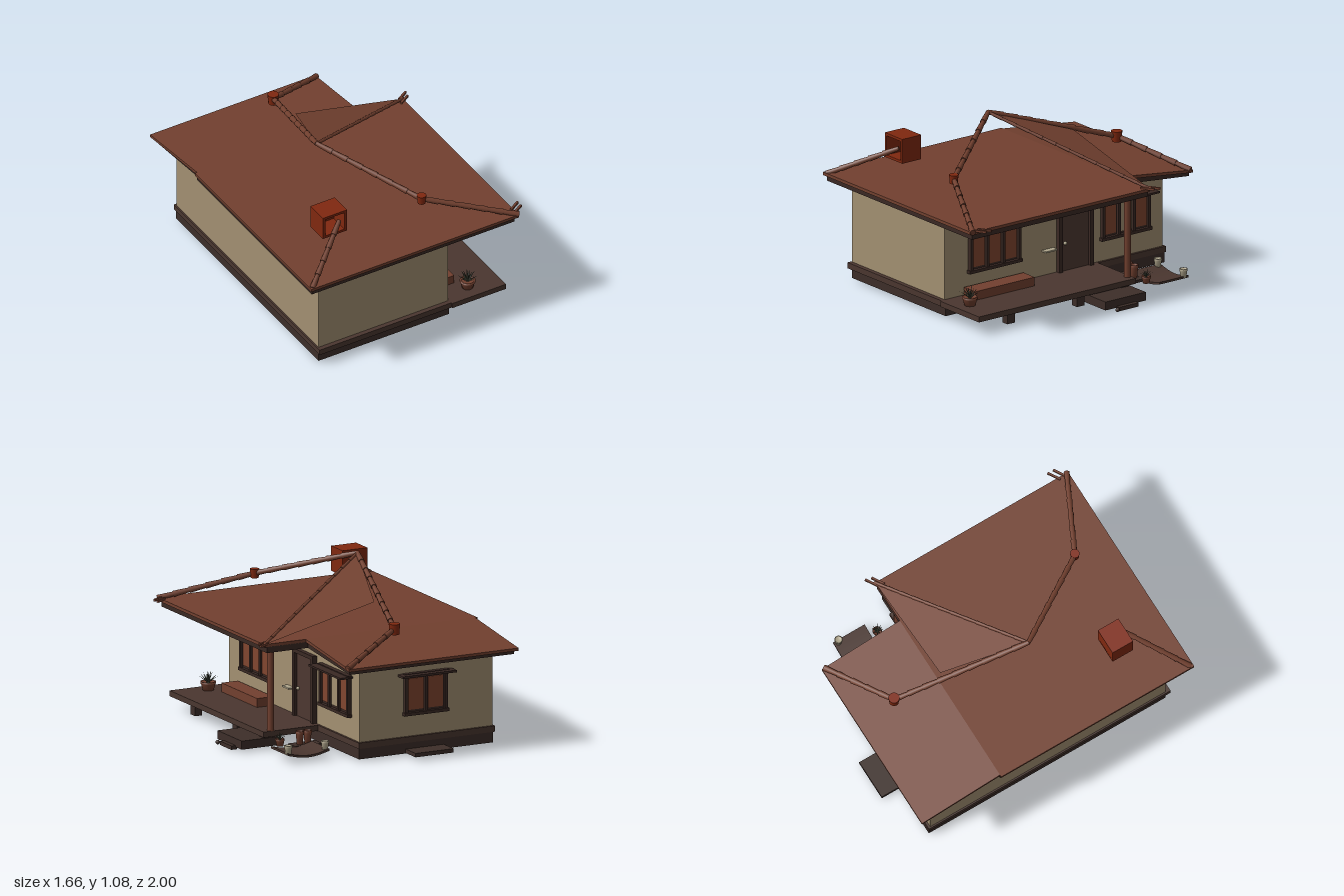
import * as THREE from 'three';

const mat = (name, color, side = THREE.FrontSide) => {
  const m = new THREE.MeshStandardMaterial({ color, side });
  m.name = name;
  return m;
};

export function createModel() {
  const M = {
    roof: mat('roof tile', 0x72402f, THREE.DoubleSide),
    plaster: mat('plaster', 0xa39072),
    dark: mat('dark timber', 0x3a2924),
    base: mat('foundation', 0x3d2e29),
    deck: mat('deck timber', 0x4a362f),
    red: mat('red clay', 0x80280f),
    pane: mat('window pane', 0x81462f),
    pale: mat('pale ceramic', 0xb0a68c),
    leaf: mat('foliage', 0x4b5040, THREE.DoubleSide),
    door: mat('door panel', 0x4d3831),
  };
  const model = new THREE.Group();
  model.name = 'house';
  const add = (name, geo, m, parent = model) => {
    const mesh = new THREE.Mesh(geo, m);
    mesh.name = name;
    parent.add(mesh);
    return mesh;
  };
  // Box from its limits; drop lowers the far (-z) edge, [bottom, top]
  const box = (name, m, x0, x1, y0, y1, z0, z1, drop = [0, 0], parent = model) => {
    const g = new THREE.BoxGeometry(x1 - x0, y1 - y0, z1 - z0);
    g.translate((x0 + x1) / 2, (y0 + y1) / 2, (z0 + z1) / 2);
    const p = g.attributes.position;
    for (let i = 0; i < p.count; i++) {
      if (p.getZ(i) < (z0 + z1) / 2) {
        const top = p.getY(i) > (y0 + y1) / 2;
        p.setY(i, p.getY(i) - drop[top ? 1 : 0]);
      }
    }
    g.computeVertexNormals();
    return add(name, g, m, parent);
  };
  const V = (x, y, z) => new THREE.Vector3(x, y, z);

  // Foundation, base trim and walls
  box('foundation', M.base, -0.7, 0.25, 0.012, 0.08, -0.87, 0.86);
  box('baseTrim', M.deck, -0.71, 0.255, 0.08, 0.118, -0.875, 0.89);
  box('mainWalls', M.plaster, -0.7, 0.24, 0.118, 0.655, -0.42, 0.86);
  box('backWalls', M.plaster, -0.7, 0.24, 0.118, 0.655, -0.86, -0.42, [0, 0.045]);

  // Flat main roof, and the back part that slopes down
  box('roofFascia', M.dark, -0.815, 0.66, 0.645, 0.685, -0.42, 0.97);
  box('roofTop', M.roof, -0.83, 0.68, 0.682, 0.702, -0.42, 0.99);
  box('backFascia', M.dark, -0.795, 0.37, 0.645, 0.685, -0.97, -0.42, [0.055, 0.068]);
  box('backRoofTop', M.roof, -0.815, 0.385, 0.682, 0.702, -0.99, -0.42, [0.07, 0.072]);
  box('porchCeiling', M.roof, 0.25, 0.62, 0.641, 0.645, -0.38, 0.92);

  // Raised roof wing
  const peak = V(-0.27, 1.065, 0.12), wingTip = V(0.68, 0.7, -0.42);
  const wing = new THREE.BufferGeometry().setFromPoints([peak, wingTip, V(-0.1, 0.885, -0.42)]);
  wing.computeVertexNormals();
  add('roofWing', wing, M.roof);

  // Ridges of overlapping tapered tiles
  const ridge = (name, a, b, r) => {
    const g = new THREE.Group();
    g.name = name;
    model.add(g);
    const dir = b.clone().sub(a), n = Math.max(3, Math.round(dir.length() / 0.1));
    for (let i = 0; i < n; i++) {
      const c = add('ridgeTile', new THREE.CylinderGeometry(r * 0.8, r * 1.1, dir.length() / n * 1.08, 8), M.roof, g);
      c.position.copy(a).addScaledVector(dir, (i + 0.5) / n);
      c.quaternion.setFromUnitVectors(V(0, -1, 0), dir.clone().normalize());
    }
  };
  const kneeFront = V(0.14, 0.855, 0.71), kneeBack = V(-0.07, 0.785, -0.74);
  ridge('frontUpperRidge', peak, kneeFront, 0.018);
  ridge('frontLowerRidge', kneeFront, V(0.68, 0.7, 0.98), 0.018);
  ridge('backUpperRidge', peak, kneeBack, 0.018);
  ridge('backLowerRidge', kneeBack, V(0.38, 0.635, -0.97), 0.018);
  ridge('cornerRidge', V(-0.45, 0.895, 0.69), V(-0.81, 0.695, 0.97), 0.018);
  ridge('wingRidge', peak, wingTip, 0.011);

  // Prongs at the eave corners
  for (const [x, z, s] of [[0.69, -0.44, -1], [0.68, -0.4, -1], [0.7, 0.9, -1], [0.7, 0.94, -1]]) {
    const p = add('eaveProng', new THREE.BoxGeometry(0.09, 0.014, 0.014), M.roof);
    p.position.set(x, 0.705, z);
    p.rotation.y = -s * 0.55;
  }

  // Clay joints on the ridges
  for (const [p, r] of [[kneeFront, 0.03], [kneeBack, 0.036]]) {
    add('ridgeJoint', new THREE.CylinderGeometry(r, r * 0.85, r * 1.9, 12), M.red).position.copy(p);
  }

  // Chimney box, open at the front
  const frame = new THREE.Shape();
  frame.moveTo(-0.088, -0.08).lineTo(0.088, -0.08).lineTo(0.088, 0.08).lineTo(-0.088, 0.08);
  const hole = new THREE.Path();
  hole.moveTo(-0.07, -0.063).lineTo(-0.07, 0.063).lineTo(0.07, 0.063).lineTo(0.07, -0.063);
  frame.holes.push(hole);
  const chimney = add('chimney', new THREE.ExtrudeGeometry(frame, { depth: 0.15, bevelEnabled: false }), M.red);
  chimney.position.set(-0.485, 0.89, 0.55);
  box('chimneyBack', M.red, -0.56, -0.41, 0.825, 0.955, 0.551, 0.57);

  // Windows, built facing +z and then turned onto a wall
  const windowUnit = (name, x, y, z, turn, w, h, kinds) => {
    const g = new THREE.Group();
    g.name = name;
    g.position.set(x, y, z);
    g.rotation.y = turn;
    model.add(g);
    const t = 0.02, step = (w - t) / kinds.length;
    box('windowBack', M.dark, -w / 2, w / 2, -h / 2, h / 2, 0, 0.01, [0, 0], g);
    for (const s of [-1, 1]) {
      box('windowRail', M.dark, -w / 2 - 0.008, w / 2 + 0.008, s * h / 2 - t / 2, s * h / 2 + t / 2, 0, 0.032, [0, 0], g);
    }
    for (let i = 0; i <= kinds.length; i++) {
      const px = -w / 2 + i * step;
      box('windowPost', M.dark, px, px + t, -h / 2, h / 2, 0, 0.028, [0, 0], g);
      if (i < kinds.length) {
        box('windowPane', kinds[i], px + t + 0.008, px + step - 0.008, -h / 2 + 0.025, h / 2 - 0.025, 0.009, 0.016, [0, 0], g);
      }
    }
    return g;
  };
  const P = M.pane;
  windowUnit('porchWindow', 0.24, 0.41, 0.475, Math.PI / 2, 0.4, 0.29, [P, P, P]);
  windowUnit('sideWindow', 0.24, 0.39, -0.56, Math.PI / 2, 0.38, 0.25, [P, M.plaster, P]);
  windowUnit('backWindow', -0.22, 0.39, -0.86, Math.PI, 0.3, 0.25, [P, P]);
  box('sideWindowHood', M.dark, 0.24, 0.33, 0.508, 0.52, -0.77, -0.35);
  box('backWindowHood', M.dark, -0.41, -0.03, 0.508, 0.522, -0.93, -0.86);

  // Door with frame and knob
  box('doorPanel', M.door, 0.235, 0.25, 0.118, 0.53, -0.28, -0.04);
  box('doorHead', M.dark, 0.24, 0.27, 0.525, 0.55, -0.295, -0.025);
  for (const z of [-0.295, -0.05]) box('doorJamb', M.dark, 0.24, 0.27, 0.118, 0.53, z, z + 0.025);
  add('doorKnob', new THREE.SphereGeometry(0.012, 10, 8), M.pale).position.set(0.258, 0.3, -0.08);
  box('wallShelf', M.pale, 0.24, 0.28, 0.275, 0.285, 0.0, 0.09);

  // Porch deck, feet and post
  box('porchDeck', M.deck, 0.25, 0.64, 0.082, 0.118, -0.34, 0.9);
  for (const z of [-0.3, 0.05, 0.6]) {
    box('deckFoot', M.base, 0.57, 0.62, 0.015, 0.082, z, z + 0.06);
  }
  add('porchPost', new THREE.CylinderGeometry(0.022, 0.022, 0.535, 12), M.roof).position.set(0.58, 0.385, -0.32);

  // Entry steps and back step
  box('entryStep', M.base, 0.52, 0.78, 0.015, 0.07, -0.31, 0.01);
  box('lowerStep', M.base, 0.77, 0.81, 0, 0.025, -0.23, -0.08);
  add('stepKnob', new THREE.SphereGeometry(0.014, 10, 8), M.base).position.set(0.815, 0.014, -0.06);
  box('backStep', M.base, -0.35, -0.08, 0.015, 0.04, -1, -0.86);

  // Planter bench below the porch window
  box('planter', M.roof, 0.255, 0.37, 0.118, 0.175, 0.25, 0.72);

  // Sagging side shelf and low step
  const shelfGeo = new THREE.BoxGeometry(0.29, 0.014, 0.23, 10, 1, 1);
  const sp = shelfGeo.attributes.position;
  for (let i = 0; i < sp.count; i++) sp.setY(i, sp.getY(i) - 0.025 * Math.cos(sp.getX(i) / 0.145 * Math.PI / 2));
  shelfGeo.computeVertexNormals();
  add('sideShelf', shelfGeo, M.deck).position.set(0.53, 0.06, -0.615);
  box('potStep', M.base, 0.32, 0.51, 0.03, 0.048, -0.51, -0.42);

  // Pots and potted plants
  const pot = (name, m, x, y, z, r, h) => {
    const pts = [[0, 0], [r * 0.7, 0], [r * 0.92, h * 0.75], [r, h * 0.78], [r, h], [r * 0.8, h], [r * 0.75, h * 0.85], [0, h * 0.85]];
    add(name, new THREE.LatheGeometry(pts.map(([a, b]) => new THREE.Vector2(a, b)), 14), m).position.set(x, y, z);
  };
  const plant = (x, y, z, size) => {
    const g = new THREE.Group();
    g.name = 'foliage';
    g.position.set(x, y, z);
    model.add(g);
    for (let i = 0; i < 14; i++) {
      const leaf = add('leaf', new THREE.ConeGeometry(size * 0.13, size, 4).translate(0, size / 2, 0).scale(1, 1, 0.3), M.leaf, g);
      leaf.rotation.set(i < 9 ? 0.95 : 0.4, i * 2.4, 0, 'YXZ');
    }
  };
  pot('plantPot', M.roof, 0.42, 0.118, 0.8, 0.05, 0.055);
  plant(0.42, 0.165, 0.8, 0.08);
  pot('smallPlantPot', M.roof, 0.59, 0.05, -0.46, 0.03, 0.045);
  plant(0.59, 0.09, -0.46, 0.05);
  for (const x of [0.4, 0.455]) pot('clayPot', M.roof, x, 0.048, -0.47, 0.027, 0.085);
  for (const x of [0.4, 0.66]) pot('palePot', M.pale, x, 0.055, -0.7, 0.026, 0.058);

  return model;
}
